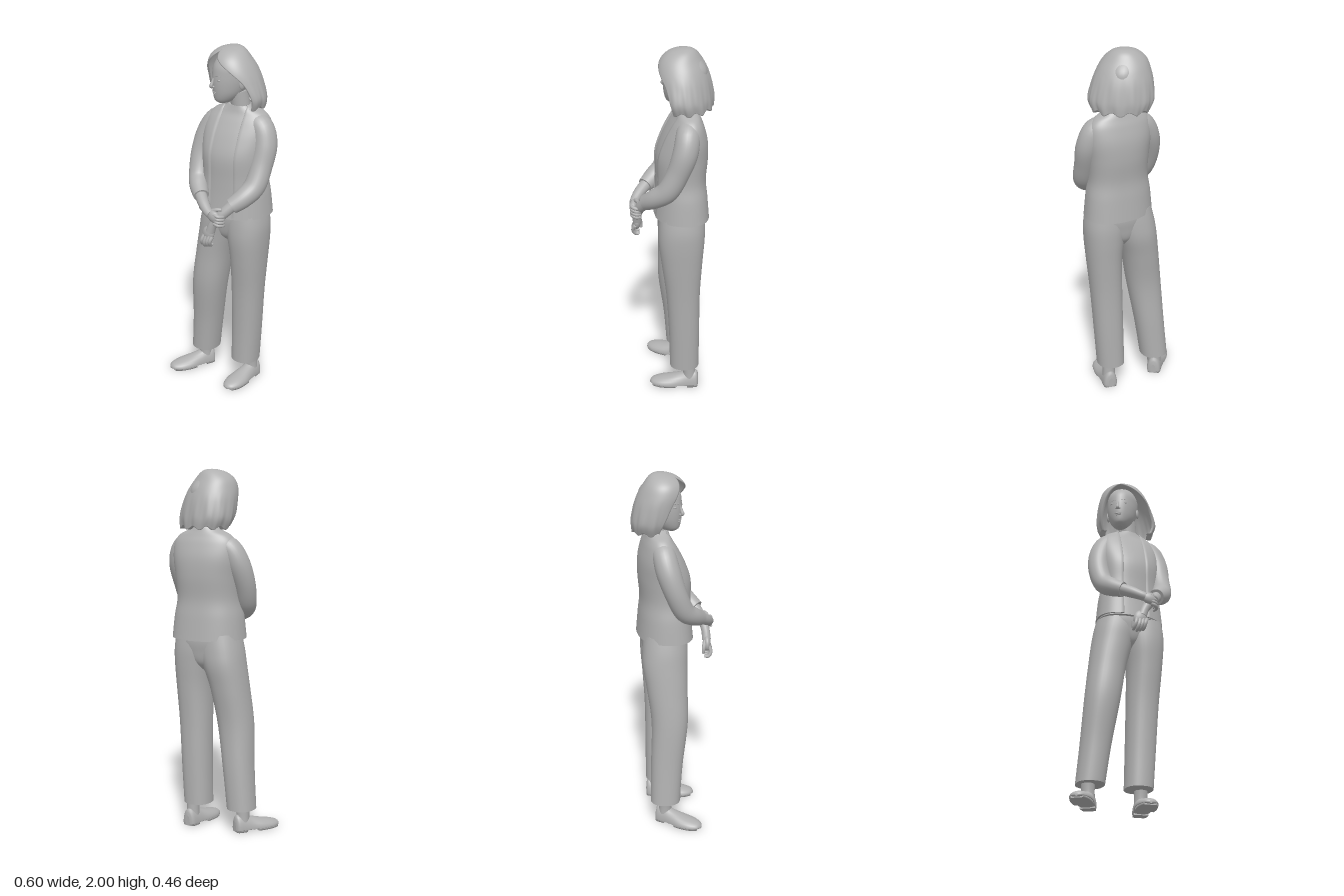
import * as THREE from 'three';

const V = (x, y, z) => new THREE.Vector3(x, y, z);
const grey = new THREE.MeshStandardMaterial({ color: 0xb0b0b0, side: THREE.DoubleSide });
grey.name = 'plain grey';

function part(name, geometry, parent) {
  const mesh = new THREE.Mesh(geometry, grey);
  mesh.name = name;
  parent.add(mesh);
  return mesh;
}

function group(name, x, z, yaw, parent) {
  const g = new THREE.Group();
  g.name = name;
  g.position.set(x, 0, z);
  g.rotation.y = yaw;
  parent.add(g);
  return g;
}

// Smoothly interpolate rows of key numbers.
function smooth(keys, steps) {
  const out = [], last = keys.length - 1;
  for (let s = 0; s <= steps; s++) {
    const u = (s / steps) * last, i = Math.min(Math.floor(u), last - 1), t = u - i;
    const a = keys[Math.max(i - 1, 0)], b = keys[i], c = keys[i + 1], d = keys[Math.min(i + 2, last)];
    out.push(b.map((p, k) => {
      const m0 = (c[k] - a[k]) / 2, m1 = (d[k] - p) / 2, t2 = t * t, t3 = t2 * t;
      return (2 * t3 - 3 * t2 + 1) * p + (t3 - 2 * t2 + t) * m0 + (3 * t2 - 2 * t3) * c[k] + (t3 - t2) * m1;
    }));
  }
  return out;
}

// Skin a list of cross-sections; closed sections get end caps.
function skin(rows, closed = true) {
  if (closed) {
    const hub = r => {
      const c = r.reduce((s, p) => s.add(p), V(0, 0, 0)).divideScalar(r.length);
      return r.map(() => c);
    };
    const a = rows[0], b = rows[rows.length - 1];
    rows = [hub(a), a, ...rows, b, hub(b)];
  }
  const n = rows[0].length, index = [];
  for (let i = 0; i < rows.length - 1; i++) {
    for (let j = 0; j < (closed ? n : n - 1); j++) {
      const k = (j + 1) % n, a = i * n + j, b = i * n + k;
      index.push(a, b, b + n, a, b + n, a + n);
    }
  }
  const g = new THREE.BufferGeometry().setFromPoints(rows.flat());
  g.setIndex(index);
  g.computeVertexNormals();
  return g;
}

// Point on a rounded horizontal section; shear turns the body slightly.
function ring([y, cx, cz, rx, rz], a, power = 2, shear = 0, k = 1) {
  const f = v => Math.sign(v) * Math.abs(v) ** (2 / power);
  const x = f(Math.sin(a)) * rx * k;
  return V(cx + x, y, cz + f(Math.cos(a)) * rz * k - shear * x);
}

// Upright form from [y, cx, cz, rx, rz].
function loft(keys, { steps = 32, n = 36, power = 2, shear = 0 } = {}) {
  return skin(smooth(keys, steps).map(s =>
    Array.from({ length: n }, (_, j) => ring(s, j / n * Math.PI * 2, power, shear))));
}

// Round limb from [x, y, z, radius].
function limb(keys, steps = 24, n = 20) {
  const s = smooth(keys, steps);
  const curve = new THREE.CatmullRomCurve3(s.map(p => V(p[0], p[1], p[2])));
  curve.getUtoTmapping = u => u;
  const { normals, binormals } = curve.computeFrenetFrames(steps, false);
  return skin(s.map((p, i) => Array.from({ length: n }, (_, j) => {
    const a = j / n * Math.PI * 2;
    return V(p[0], p[1], p[2]).addScaledVector(normals[i], Math.cos(a) * p[3])
      .addScaledVector(binormals[i], Math.sin(a) * p[3]);
  })));
}

function ball(name, pos, size, parent) {
  const m = part(name, new THREE.SphereGeometry(1, 20, 14), parent);
  m.position.set(...pos);
  m.scale.set(...size);
  return m;
}

const torso = [
  [1.08, 0.06, -0.055, 0.197, 0.152], [1.2, 0.06, -0.055, 0.185, 0.142], [1.3, 0.06, -0.052, 0.17, 0.136],
  [1.42, 0.06, -0.057, 0.176, 0.14], [1.52, 0.06, -0.072, 0.184, 0.122], [1.6, 0.062, -0.083, 0.176, 0.092],
  [1.645, 0.063, -0.088, 0.145, 0.07], [1.672, 0.064, -0.088, 0.095, 0.06], [1.69, 0.065, -0.088, 0.064, 0.055]];

// Open jacket body whose front edges and hem turn inwards.
function jacket() {
  const n = 60, p = 2.3, s = smooth(torso, 48);
  const row = (sec, k) => {
    const edge = x => {
      const q = THREE.MathUtils.clamp((x - sec[1]) / sec[3], -0.85, 0.85);
      return Math.sign(q) * Math.asin(Math.abs(q) ** (p / 2));
    };
    const a0 = edge(0.13), a1 = Math.PI * 2 + edge(-0.013), pts = [];
    for (let j = 0; j <= n; j++) pts.push(ring(sec, a0 + (a1 - a0) * j / n, p, 0.15, k));
    pts.unshift(ring(sec, a0, p, 0.15, k * 0.92));
    pts.push(ring(sec, a1, p, 0.15, k * 0.92));
    return pts;
  };
  return skin([row(s[0], 0.9), row(s[0], 1), ...s.map(x => row(x, 1))], false);
}

// Bob of hair, open around the face: [y, cx, cz, rx, rz, left opening, right opening].
function hair() {
  const n = 90, s = smooth([
    [1.69, 0.006, -0.016, 0.155, 0.126, 1.42, 1.02], [1.745, 0.004, -0.008, 0.173, 0.134, 1.42, 0.9],
    [1.83, -0.003, 0.01, 0.16, 0.136, 1.25, 0.74], [1.895, -0.008, 0.026, 0.139, 0.128, 0.85, 0.54],
    [1.945, -0.013, 0.033, 0.112, 0.104, 0.3, 0.24], [1.98, -0.013, 0.026, 0.074, 0.072, 0, 0],
    [1.996, -0.012, 0.015, 0.036, 0.036, 0, 0], [2, -0.012, 0.013, 0.001, 0.001, 0, 0]], 49);
  const row = (sec, k) => {
    const low = Math.max(0, (1.88 - sec[0]) / 0.2), a0 = sec[5], a1 = Math.PI * 2 - sec[6], pts = [];
    for (let j = -1; j <= n + 1; j++) {
      const a = a0 + (a1 - a0) * THREE.MathUtils.clamp(j / n, 0, 1);
      const wave = 1 + 0.022 * low * Math.sin(a * 13 + sec[0] * 14) + 0.008 * low * Math.sin(a * 29);
      const v = ring(sec, a, 2.1, 0, k * wave * (j < 0 || j > n ? 0.93 : 1));
      v.y += 0.011 * low * low * Math.sin(a * 11 + 1);
      pts.push(v);
    }
    return pts;
  };
  return skin([row(s[0], 0.8), ...s.map(x => row(x, 1))], false);
}

function shoe(name, x, z, yaw, parent) {
  const g = group(name, x, z, yaw, parent);
  // Upper: [z, half width, height]
  const upper = smooth([[-0.072, 0.016, 0.06], [-0.06, 0.038, 0.096], [-0.01, 0.044, 0.092], [0.03, 0.049, 0.078],
    [0.09, 0.059, 0.061], [0.15, 0.055, 0.048], [0.194, 0.034, 0.034], [0.209, 0.008, 0.018]], 28);
  part('shoeUpper', skin(upper.map(([zz, w, h]) => Array.from({ length: 24 }, (_, j) => {
    const a = j / 24 * Math.PI * 2, sy = Math.sin(a);
    return V(Math.cos(a) * w, 0.014 + (sy > 0 ? sy * (h - 0.014) : sy * 0.009), zz);
  }))), g);
  // Sole and heel follow the outline of the upper
  const slab = (from, to, y0, y1) => {
    const cut = upper.filter(u => u[0] >= from && u[0] <= to);
    return skin(cut.map(([zz, w]) => [V(w * 0.92, y0, zz), V(w * 0.92, y1, zz), V(-w * 0.92, y1, zz), V(-w * 0.92, y0, zz)]));
  };
  part('sole', slab(0.045, 0.2, 0, 0.013), g);
  part('heel', slab(-0.07, -0.005, 0, 0.016), g);
  part('ankle', limb([[0, 0.05, -0.02, 0.037], [0, 0.1, -0.018, 0.036], [0, 0.2, -0.01, 0.04]], 8), g);
}

function buildHead(parent) {
  const head = group('head', 0.045, -0.083, -0.4, parent);
  part('hair', hair(), head);
  // The face turns a little further than the hair
  const face = group('faceParts', -0.013, 0.012, -0.1, head);
  part('face', loft([[1.693, 0, 0.065, 0.015, 0.02], [1.71, 0, 0.053, 0.042, 0.056], [1.75, 0, 0.033, 0.068, 0.086],
    [1.8, 0, 0.014, 0.082, 0.11], [1.85, 0, 0, 0.088, 0.122], [1.9, 0, -0.003, 0.086, 0.115],
    [1.945, 0, 0, 0.066, 0.08], [1.97, 0, 0, 0.03, 0.03]]), face);
  part('nose', limb([[0, 1.838, 0.117, 0.006], [0, 1.81, 0.127, 0.008], [0, 1.791, 0.134, 0.01], [0, 1.784, 0.127, 0.006]], 12, 12), face);
  ball('upperLip', [0, 1.758, 0.116], [0.021, 0.005, 0.007], face);
  ball('lowerLip', [0, 1.749, 0.115], [0.017, 0.005, 0.007], face);
  for (const s of [-1, 1]) {
    ball('nostril', [s * 0.008, 1.789, 0.122], [0.008, 0.005, 0.008], face);
    ball('eye', [s * 0.035, 1.829, 0.105], [0.014, 0.006, 0.009], face);
    ball('ear', [s * 0.088, 1.81, -0.005], [0.009, 0.03, 0.018], face);
    part('brow', limb([[s * 0.016, 1.846, 0.118, 0.003], [s * 0.036, 1.851, 0.109, 0.003], [s * 0.056, 1.846, 0.091, 0.002]], 8, 8), face);
  }
}

export function createModel() {
  const model = new THREE.Group();
  model.name = 'standingWoman';
  buildHead(model);
  part('neck', limb([[0.067, 1.56, -0.1, 0.062], [0.066, 1.65, -0.092, 0.053], [0.055, 1.76, -0.078, 0.052]], 12), model);

  // Clothes on the body
  part('blouse', loft(torso.map(([y, cx, cz, rx, rz]) => [y - 0.006, cx, cz, rx * 0.95, rz * 0.95]), { power: 2.3, shear: 0.15 }), model);
  part('jacketBody', jacket(), model);
  part('trouserSeat', loft([[0.9, 0.05, -0.062, 0.02, 0.06], [0.95, 0.05, -0.06, 0.08, 0.106], [1.02, 0.053, -0.058, 0.16, 0.124],
    [1.08, 0.056, -0.058, 0.18, 0.13], [1.15, 0.058, -0.058, 0.165, 0.122]], { power: 2.3, shear: 0.1 }), model);

  // Trouser legs widen into the hips
  part('rightTrouserLeg', loft([[0.13, -0.155, -0.06, 0.078, 0.084], [0.35, -0.13, -0.05, 0.084, 0.09], [0.6, -0.1, -0.032, 0.097, 0.102],
    [0.8, -0.071, -0.045, 0.103, 0.114], [0.93, -0.043, -0.055, 0.114, 0.125], [1.02, -0.02, -0.054, 0.123, 0.126],
    [1.11, 0, -0.052, 0.122, 0.12]], { power: 2.25, steps: 36 }), model);
  part('leftTrouserLeg', loft([[0.13, 0.118, -0.082, 0.078, 0.083], [0.35, 0.128, -0.08, 0.083, 0.086], [0.6, 0.138, -0.073, 0.089, 0.094],
    [0.8, 0.147, -0.066, 0.097, 0.112], [0.93, 0.145, -0.063, 0.109, 0.125], [1.02, 0.138, -0.064, 0.117, 0.127],
    [1.11, 0.128, -0.064, 0.114, 0.12]], { power: 2.25, steps: 36 }), model);
  shoe('rightShoe', -0.174, -0.045, -0.5, model);
  shoe('leftShoe', 0.137, -0.092, -0.06, model);

  // Sleeves
  part('leftSleeve', limb([[0.11, 1.594, -0.092, 0.058], [0.195, 1.58, -0.094, 0.064], [0.231, 1.49, -0.08, 0.067], [0.236, 1.38, -0.042, 0.061],
    [0.232, 1.28, 0.01, 0.059], [0.205, 1.225, 0.075, 0.053], [0.165, 1.185, 0.128, 0.044]], 36, 28), model);
  part('rightSleeve', limb([[0.01, 1.594, -0.075, 0.058], [-0.07, 1.576, -0.06, 0.063], [-0.115, 1.49, -0.037, 0.066], [-0.133, 1.38, 0, 0.06],
    [-0.118, 1.275, 0.045, 0.056], [-0.08, 1.23, 0.095, 0.051], [-0.03, 1.2, 0.138, 0.042]], 36, 28), model);

  // Bare forearms
  part('leftForearm', limb([[0.175, 1.195, 0.115, 0.032], [0.125, 1.135, 0.16, 0.029], [0.085, 1.08, 0.178, 0.024], [0.065, 1.03, 0.182, 0.026]]), model);
  part('rightForearm', limb([[-0.05, 1.21, 0.125, 0.034], [0.01, 1.175, 0.168, 0.031], [0.055, 1.15, 0.192, 0.026], [0.08, 1.14, 0.197, 0.025]]), model);

  // Hanging left hand with curled fingers
  ball('leftPalm', [0.053, 1.015, 0.184], [0.037, 0.045, 0.021], model).rotation.z = -0.35;
  for (let i = 0; i < 4; i++) {
    const x = 0.018 + i * 0.018, y = 0.948 + Math.abs(i - 1.2) * 0.006;
    part('leftFinger', limb([[x + 0.014, 1.005, 0.193, 0.011], [x + 0.006, y + 0.02, 0.205, 0.0105],
      [x, y - 0.006, 0.192, 0.0095], [x, y - 0.008, 0.172, 0.007]], 12, 10), model);
  }
  part('leftThumb', limb([[0.045, 1.035, 0.175, 0.013], [0.022, 0.998, 0.165, 0.011], [0.02, 0.965, 0.162, 0.008]], 10, 10), model);

  // Right hand clasping the left wrist
  ball('rightPalm', [0.103, 1.132, 0.2], [0.042, 0.033, 0.021], model).rotation.z = -0.3;
  for (let i = 0; i < 4; i++) {
    const y = 1.148 - i * 0.017;
    part('rightFinger', limb([[0.11, y, 0.208, 0.0105], [0.135, y - 0.006, 0.205, 0.0105],
      [0.148, y - 0.012, 0.182, 0.0095], [0.138, y - 0.016, 0.16, 0.007]], 12, 10), model);
  }
  part('rightThumb', limb([[0.08, 1.155, 0.19, 0.013], [0.108, 1.168, 0.183, 0.011], [0.135, 1.172, 0.172, 0.008]], 10, 10), model);
  return model;
}
